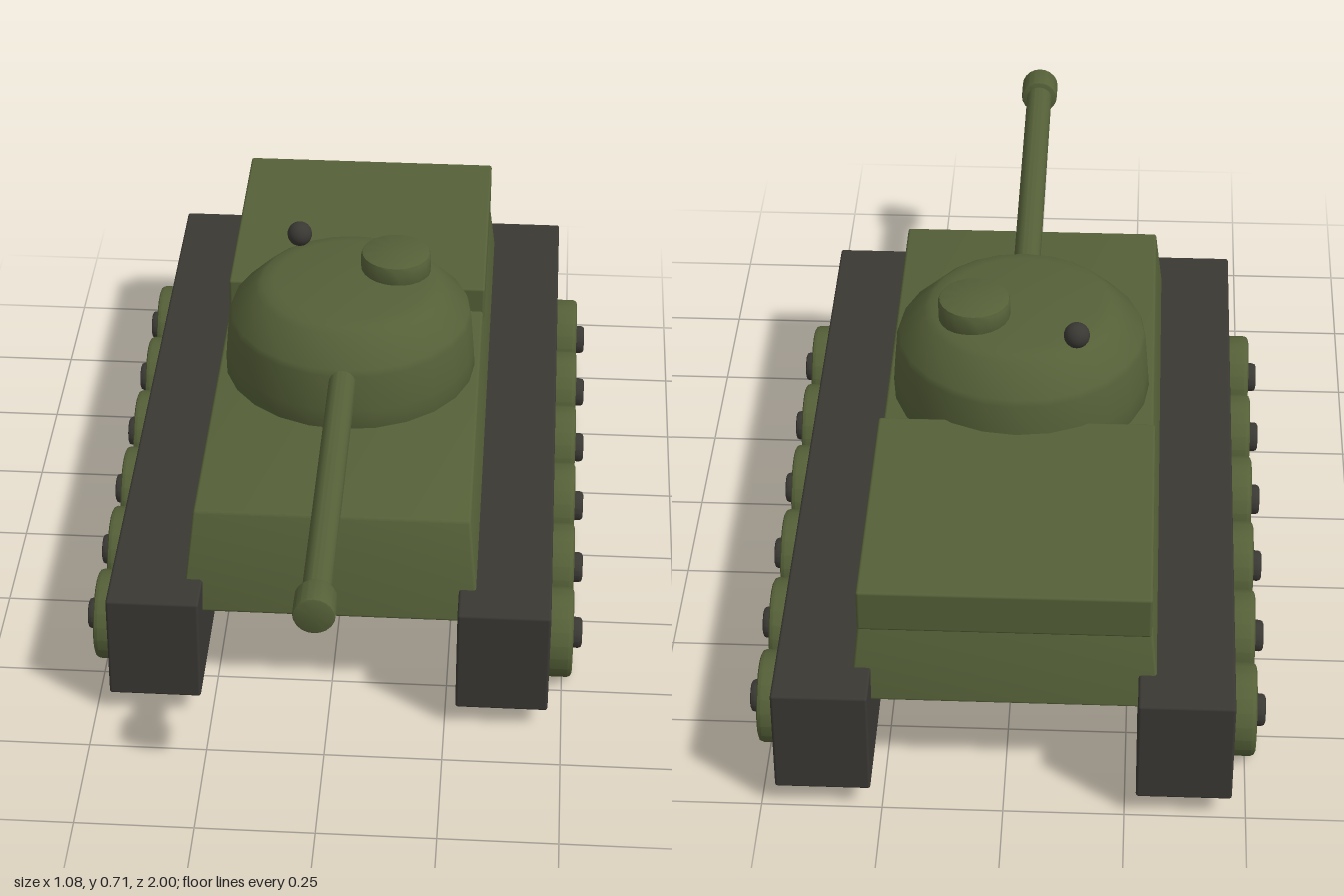
import * as THREE from 'three';
import { toCreasedNormals } from 'three/addons/utils/BufferGeometryUtils.js';
import { RoundedBoxGeometry } from 'three/addons/geometries/RoundedBoxGeometry.js';

export function createModel() {
  const model = new THREE.Group();
  model.name = 'tank';
  const green = new THREE.MeshStandardMaterial({ color: 0x556038 });
  green.name = 'olive green';
  const dark = new THREE.MeshStandardMaterial({ color: 0x3a3833 });
  dark.name = 'dark track';

  const add = (name, geometry, material, x = 0, y = 0, z = 0, parent = model) => {
    const mesh = new THREE.Mesh(geometry, material);
    mesh.name = name;
    mesh.position.set(x, y, z);
    parent.add(mesh);
    return mesh;
  };
  // Box given by its limits, with softened edges
  const box = (x0, x1, y0, y1, z0, z1, r = 0.006) =>
    new RoundedBoxGeometry(x1 - x0, y1 - y0, z1 - z0, 2, r)
      .translate((x0 + x1) / 2, (y0 + y1) / 2, (z0 + z1) / 2);
  // Turned solid from [radius, height] points
  const turned = (points, sides, crease = 0.5) => toCreasedNormals(
    new THREE.LatheGeometry(points.map(([r, h]) => new THREE.Vector2(r, h)), sides), crease);
  // Disc with chamfered rims, standing on y = 0
  const disc = (r, h, b, sides) => turned(
    [[0, 0], [r - b, 0], [r - b * 0.3, b * 0.3], [r, b], [r, h - b], [r - b * 0.3, h - b * 0.3], [r - b, h], [0, h]], sides);

  // Hull: box narrowing towards its top on all four sides
  const hull = box(-0.317, 0.317, 0.225, 0.447, -0.922, 0.563);
  const p = hull.attributes.position;
  for (let i = 0; i < p.count; i++) {
    const t = (p.getY(i) - 0.225) / 0.222;
    const z = p.getZ(i);
    p.setX(i, p.getX(i) * (1 - 0.075 * t));
    p.setZ(i, z - Math.sign(z + 0.18) * 0.058 * t);
  }
  add('hull', toCreasedNormals(hull, 0.5), green);
  add('engineDeck', box(-0.297, 0.297, 0.41, 0.507, -0.92, -0.33), green);

  // Tracks with six road wheels on each side
  for (const side of [1, -1]) {
    const running = new THREE.Group();
    running.name = side > 0 ? 'leftRunningGear' : 'rightRunningGear';
    model.add(running);
    add('track', box(-0.0985, 0.0985, 0.05, 0.296, -1, 0.635), dark, side * 0.3715, 0, 0, running);
    const wheel = disc(0.098, 0.085, 0.01, 20).rotateZ(-side * Math.PI / 2);
    const hub = disc(0.034, 0.04, 0.008, 16).rotateZ(-side * Math.PI / 2);
    for (let i = 0; i < 6; i++) {
      const z = 0.418 - i * 0.2386;
      add('roadWheel', wheel, green, side * 0.436, 0.098, z, running);
      add('wheelHub', hub, dark, side * 0.501, 0.098, z, running);
    }
  }

  // Turret with hatch and sight
  const turret = new THREE.Group();
  turret.name = 'turret';
  turret.position.set(0, 0, -0.105);
  model.add(turret);
  add('turretShell', turned([[0, 0.44], [0.279, 0.44], [0.282, 0.447], [0.279, 0.49], [0.272, 0.575],
    [0.267, 0.589], [0.212, 0.645], [0.197, 0.655], [0.17, 0.66], [0, 0.667]], 24, 0.65),
  green, 0, 0, 0, turret);
  add('hatch', disc(0.078, 0.06, 0.008, 24), green, 0.099, 0.646, -0.052, turret);
  add('sight', new THREE.SphereGeometry(0.028, 20, 14), dark, -0.125, 0.683, -0.153, turret);

  // Gun
  add('gunBarrel', turned([[0, 0], [0.03, 0], [0.03, 0.82], [0, 0.82]], 20).rotateX(Math.PI / 2),
    green, 0, 0.559, 0.24 - 0.105, turret.parent);
  add('muzzle', disc(0.043, 0.07, 0.006, 20).rotateX(Math.PI / 2), green, 0, 0.559, 0.93);

  return model;
}
